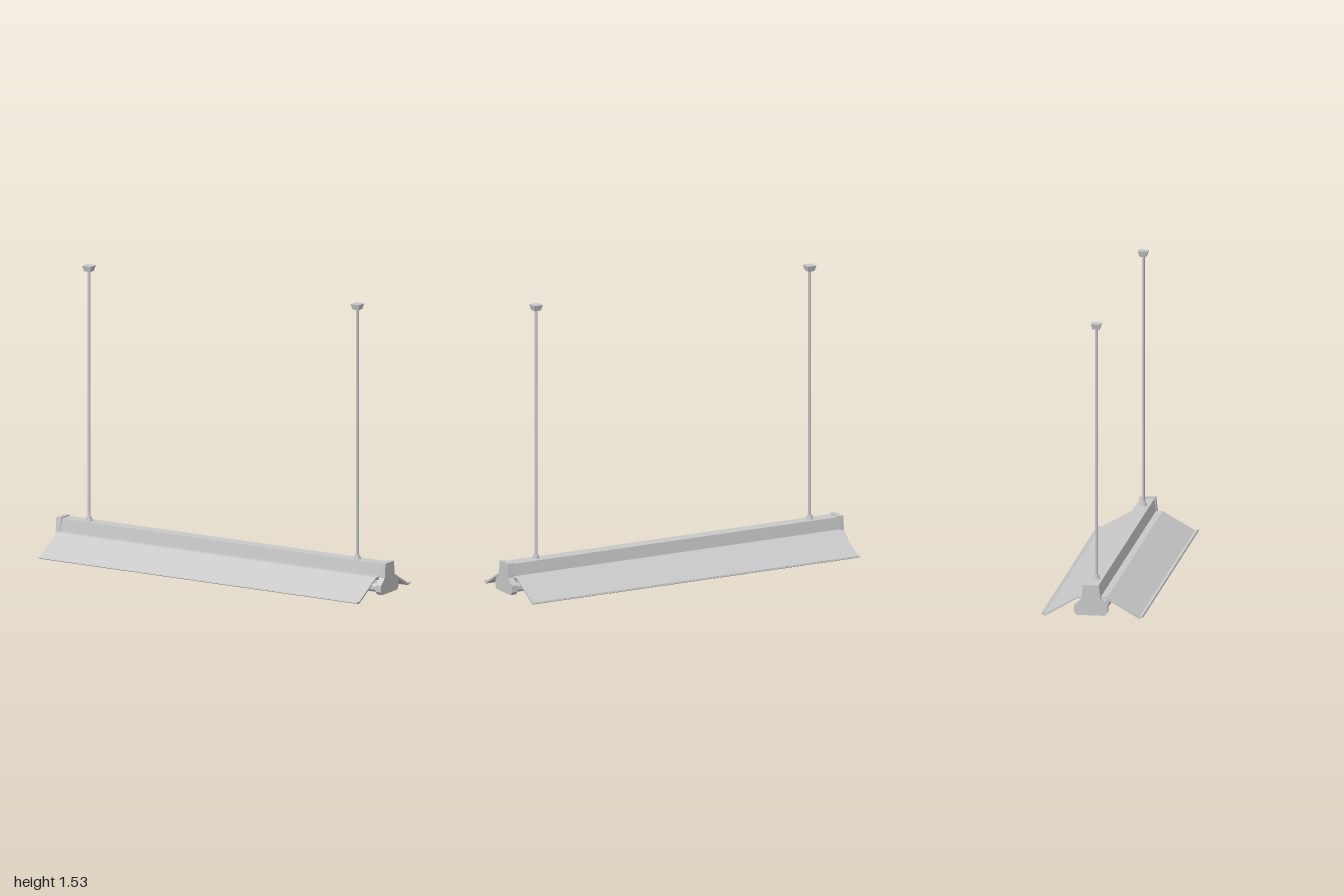
import * as THREE from 'three';

const metal = new THREE.MeshStandardMaterial({ color: 0xc8c8c8 });
metal.name = 'light grey metal';

// Extrudes a [z, y] section along x between x0 and x1
function extrudeX(name, points, x0, x1) {
  const shape = new THREE.Shape(points.map(([z, y]) => new THREE.Vector2(-z, y)));
  const geometry = new THREE.ExtrudeGeometry(shape, { depth: x1 - x0, bevelEnabled: false });
  geometry.rotateY(Math.PI / 2).translate(x0, 0, 0);
  const mesh = new THREE.Mesh(geometry, metal);
  mesh.name = name;
  return mesh;
}

// Mirrors a half section about z = centre
function symmetric(half, centre) {
  const other = half.map(([z, y]) => [-z, y]).reverse();
  return [...half, ...other].map(([z, y]) => [z + centre, y]);
}

function upright(name, top, bottom, y0, y1, sides, x) {
  const geometry = new THREE.CylinderGeometry(top, bottom, y1 - y0, sides).toNonIndexed();
  if (sides === 4) geometry.rotateY(Math.PI / 4);
  geometry.computeVertexNormals();
  const mesh = new THREE.Mesh(geometry, metal);
  mesh.name = name;
  mesh.position.set(x, (y0 + y1) / 2, 0);
  return mesh;
}

export function createModel() {
  const model = new THREE.Group();
  model.name = 'hangingStripLight';
  const centre = -0.003;

  // Tapered spine of the fixture
  model.add(extrudeX('housing', symmetric(
    [[0.037, 0.175], [0.048, 0.1], [0.03, 0.085]], centre), -0.975, 0.975));

  // Moulded caps at both ends
  const cap = symmetric([[0.042, 0.181], [0.05, 0.106], [0.088, 0.072],
    [0.088, 0.038], [0.074, 0.02]], centre);
  model.add(extrudeX('rightEndCap', cap, -1, -0.97));
  model.add(extrudeX('leftEndCap', cap, 0.968, 1));

  // Bent reflector wings with upturned lips
  for (const side of [1, -1]) {
    const wing = [[0.04, 0.111], [0.078, 0.111], [0.247, 0.0145], [0.265, 0.0205],
      [0.268, 0.0125], [0.246, 0.004], [0.076, 0.103], [0.04, 0.103]]
      .map(([z, y]) => [z * side, y]);
    model.add(extrudeX(side > 0 ? 'frontReflector' : 'backReflector', wing, -0.975, 0.965));
  }

  // Pair of lamp tubes held between the caps
  for (const side of [1, -1]) {
    const ring = [];
    for (let i = 0; i < 8; i++) {
      const a = (i + 0.5) * Math.PI / 4;
      ring.push([centre + side * 0.055 + 0.024 * Math.cos(a), 0.053 + 0.024 * Math.sin(a)]);
    }
    model.add(extrudeX(side > 0 ? 'frontLamp' : 'backLamp', ring, -0.97, 0.968));
  }

  // Suspension rods with base fittings and square ceiling mounts
  for (const x of [-0.825, 0.805]) {
    const hanger = new THREE.Group();
    hanger.name = x < 0 ? 'rightHanger' : 'leftHanger';
    hanger.add(upright('rod', 0.008, 0.008, 0.18, 1.515, 8, x));
    hanger.add(upright('baseFitting', 0.014, 0.019, 0.174, 0.198, 8, x));
    hanger.add(upright('ceilingMount', 0.037, 0.026, 1.508, 1.538, 4, x));
    model.add(hanger);
  }

  return model;
}
